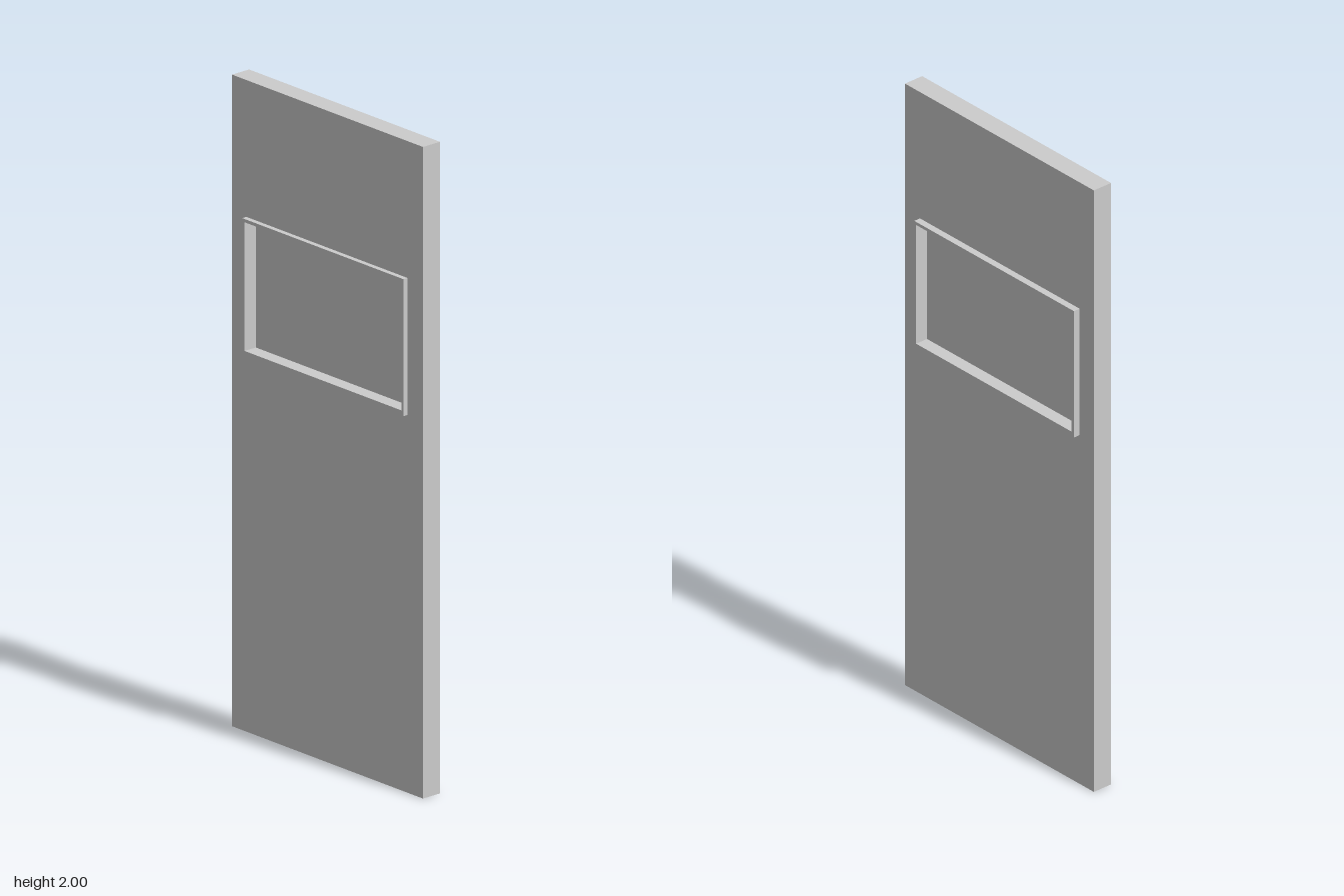
import * as THREE from 'three';

const material = new THREE.MeshStandardMaterial({ color: 0xcccccc, flatShading: true });

// Rectangular outline from two opposite corners
function rect(Type, u0, v0, u1, v1) {
  return new Type([[u0, v0], [u1, v0], [u1, v1], [u0, v1]].map(p => new THREE.Vector2(...p)));
}

// Slab lying in the z-y plane between x0 and x1, with an optional opening (u = -z)
function slab(name, outer, hole, x0, x1) {
  const shape = rect(THREE.Shape, ...outer);
  if (hole) shape.holes.push(rect(THREE.Path, ...hole));
  const geometry = new THREE.ExtrudeGeometry(shape, { depth: x1 - x0, bevelEnabled: false });
  geometry.rotateY(Math.PI / 2).translate(x0, 0, 0);
  const mesh = new THREE.Mesh(geometry, material);
  mesh.name = name;
  return mesh;
}

export function createModel() {
  const group = new THREE.Group();
  group.name = 'door';

  const frameOuter = [-0.348, 1.16, 0.352, 1.58];
  const frameInner = [-0.34, 1.175, 0.342, 1.57];

  // Door leaf with the window cut through it
  group.add(slab('doorLeaf', [-0.414, 0, 0.414, 2], frameOuter, -0.036, 0.03));
  // Thin window surround standing proud on both faces
  group.add(slab('windowFrame', frameOuter, frameInner, -0.052, 0.052));
  // Recessed window pane
  group.add(slab('windowPane', frameInner, null, -0.008, 0.01));

  return group;
}
